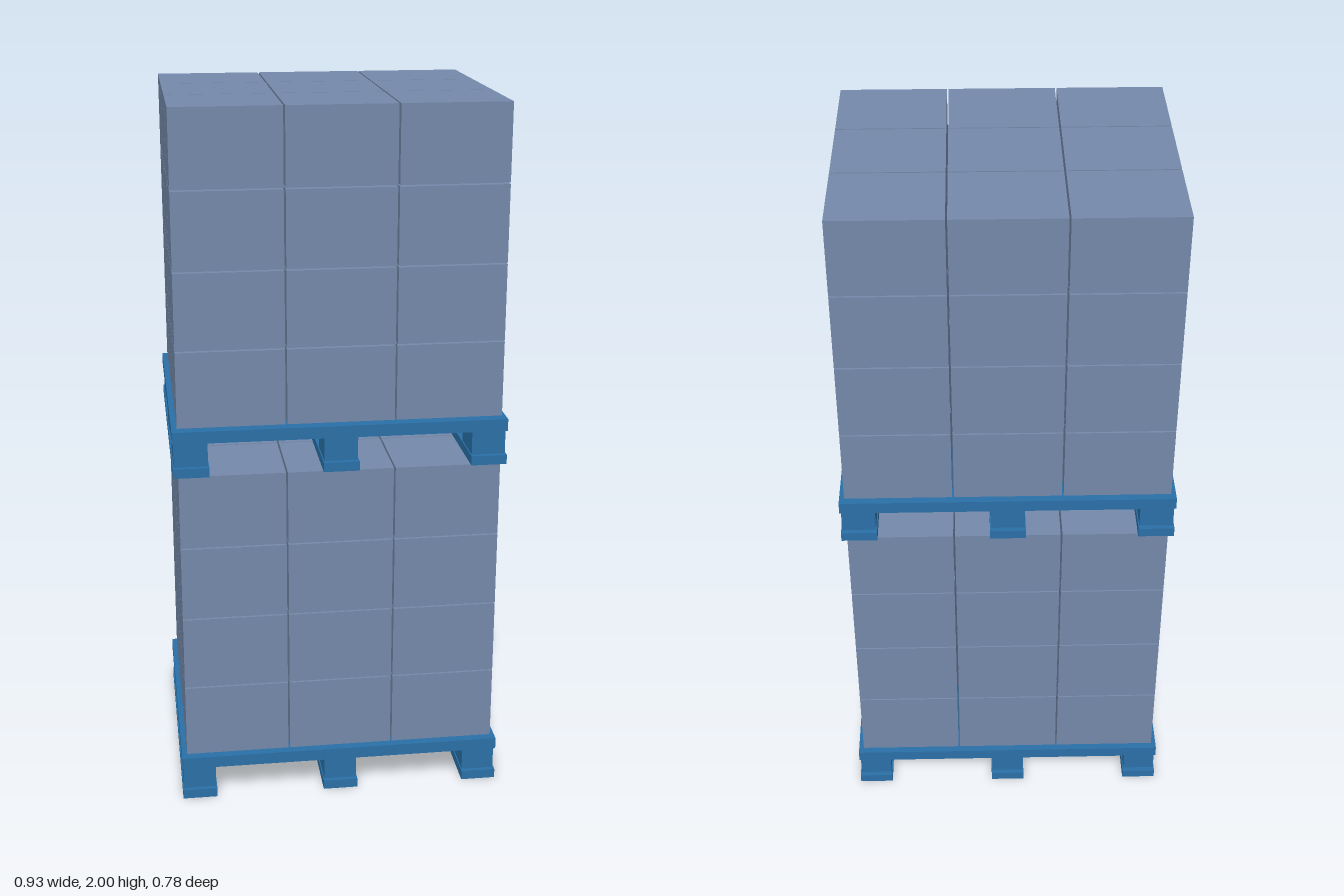
import * as THREE from 'three';

const blue = new THREE.MeshStandardMaterial({ color: 0x2a70a8 });
const slate = new THREE.MeshStandardMaterial({ color: 0x7489aa });

// Box given by its size and centre
function box(parent, name, mat, w, h, d, x, y, z) {
  const mesh = new THREE.Mesh(new THREE.BoxGeometry(w, h, d), mat);
  mesh.name = name;
  mesh.position.set(x, y, z);
  parent.add(mesh);
}

function makePallet() {
  const g = new THREE.Group();
  g.name = 'pallet';
  // Three runners along the depth, each carrying three blocks
  for (const x of [-0.414, 0, 0.414]) {
    box(g, 'runner', blue, 0.1, 0.027, 0.776, x, 0.0135, 0);
    for (const z of [-0.313, 0, 0.313]) {
      box(g, 'block', blue, 0.094, 0.073, 0.122, x, 0.0635, z);
    }
  }
  // Rim around the deck
  for (const s of [-1, 1]) {
    box(g, 'sideRim', blue, 0.021, 0.034, 0.776, s * 0.4535, 0.115, 0);
    box(g, 'endRim', blue, 0.886, 0.034, 0.021, 0, 0.115, s * 0.3775);
  }
  // Deck sheet with slats across the width beneath it
  box(g, 'deck', blue, 0.886, 0.012, 0.734, 0, 0.126, 0);
  for (let i = 0; i < 7; i++) {
    box(g, 'slat', blue, 0.886, 0.02, 0.07, 0, 0.11, (i - 3) * 0.11);
  }
  return g;
}

function makeCartons() {
  const g = new THREE.Group();
  g.name = 'cartonStack';
  const layer = 0.2158, base = 0.137;
  // Four layers of three by three cartons with narrow gaps
  for (let k = 0; k < 4; k++) {
    for (let i = -1; i <= 1; i++) {
      for (let j = -1; j <= 1; j++) {
        box(g, 'carton', slate, 0.296, layer - 0.004, 0.246,
          i * 0.301, base + (k + 0.5) * layer, j * 0.251);
      }
    }
  }
  return g;
}

export function createModel() {
  const model = new THREE.Group();
  model.name = 'stackedPallets';
  // Two identical loads, one on top of the other
  for (let n = 0; n < 2; n++) {
    const load = new THREE.Group();
    load.name = n ? 'upperLoad' : 'lowerLoad';
    load.add(makePallet(), makeCartons());
    load.position.y = n;
    model.add(load);
  }
  return model;
}
